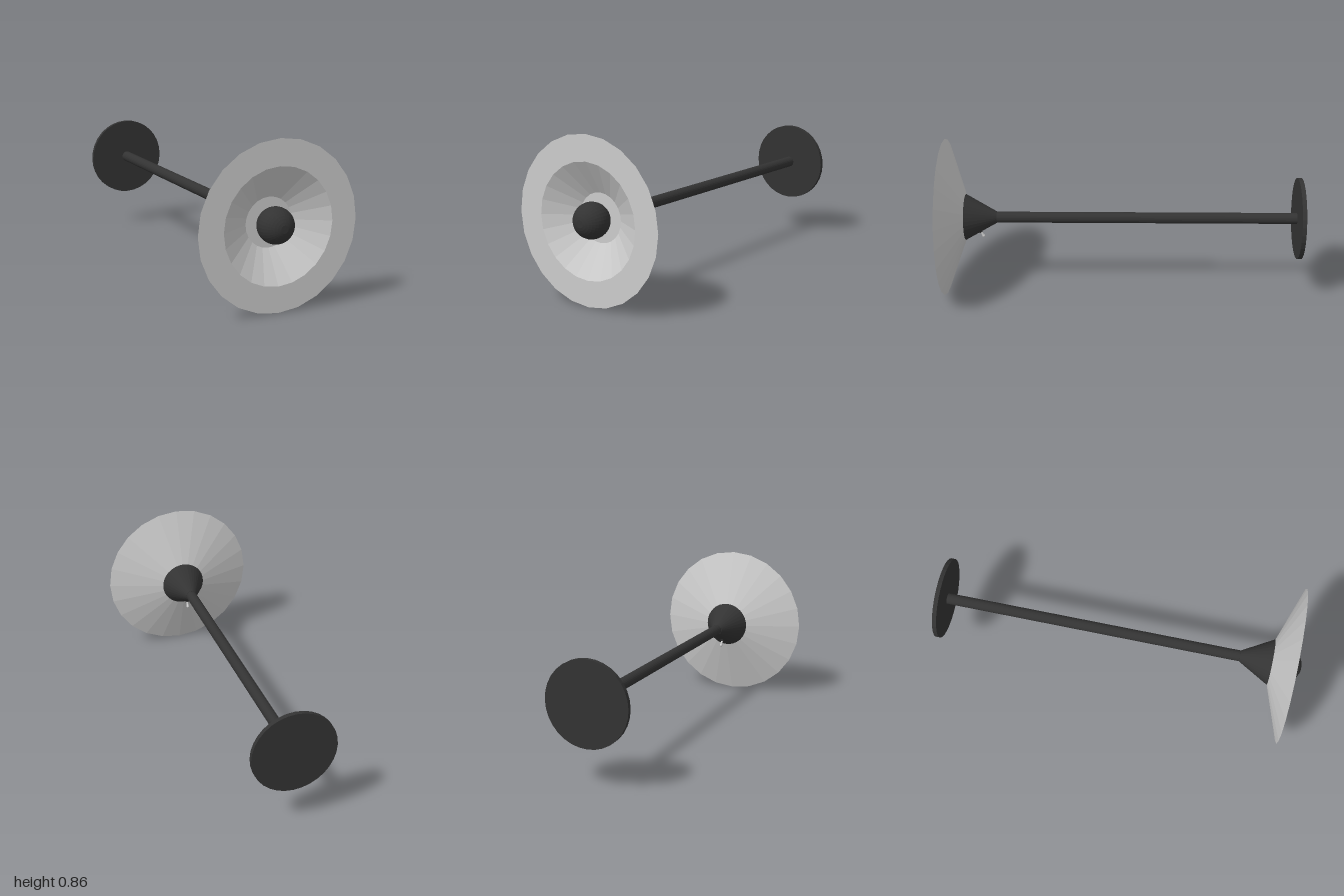
import * as THREE from 'three';

const AXIS_Y = 0.43; // height of the lamp's horizontal axis

export function createModel() {
  const group = new THREE.Group();
  const grey = new THREE.MeshStandardMaterial({ color: 0xcccccc, flatShading: true, side: THREE.DoubleSide });
  const dark = new THREE.MeshStandardMaterial({ color: 0x333333, flatShading: true });

  // Turns a profile of [radius, z] points around the lamp's axis
  function turned(name, profile, material, sides = 24) {
    const geometry = new THREE.LatheGeometry(profile.map(([r, z]) => new THREE.Vector2(r, z)), sides);
    geometry.rotateX(Math.PI / 2);
    const mesh = new THREE.Mesh(geometry, material);
    mesh.name = name;
    mesh.position.y = AXIS_Y;
    group.add(mesh);
    return mesh;
  }

  // Wall plate and long arm
  turned('wallPlate', [[0, -1], [0.222, -1], [0.222, -0.977], [0, -0.977]], dark, 32);
  turned('arm', [[0.03, -0.98], [0.03, 0.68]], dark);

  // Conical lamp holder
  turned('holder', [[0, 0.665], [0.031, 0.665], [0.126, 0.835], [0, 0.835]], dark, 32);

  // Wide shade: outer cone, flat rim, recessed reflector and its floor
  turned('shade', [[0.12, 0.834], [0.429, 0.945], [0.295, 0.945], [0.127, 0.842], [0, 0.842]], grey);

  // Round bulb with a short neck and a small flat tip
  const bulb = [[0.045, 0.84]];
  const start = Math.asin(0.045 / 0.092), end = Math.PI - Math.asin(0.02 / 0.092);
  for (let i = 0; i <= 14; i++) {
    const a = start + (end - start) * i / 14;
    bulb.push([0.092 * Math.sin(a), 0.909 - 0.092 * Math.cos(a)]);
  }
  bulb.push([0, 0.999]);
  turned('bulb', bulb, dark, 32);

  // Little toggle switch standing square to the underside of the holder
  const toggle = new THREE.Group();
  toggle.name = 'toggleSwitch';
  function pin(name, r0, r1, length, y, material) {
    const mesh = new THREE.Mesh(new THREE.CylinderGeometry(r1, r0, length, 12), material);
    mesh.name = name;
    mesh.position.y = y;
    toggle.add(mesh);
  }
  pin('switchCollar', 0.01, 0.01, 0.016, 0.002, dark);
  pin('switchLever', 0.005, 0.007, 0.036, 0.02, grey);
  const tip = new THREE.Mesh(new THREE.SphereGeometry(0.008, 12, 8), grey);
  tip.name = 'switchTip';
  tip.position.y = 0.036;
  toggle.add(tip);
  toggle.position.set(0, 0.348, 0.762);
  toggle.quaternion.setFromUnitVectors(new THREE.Vector3(0, 1, 0), new THREE.Vector3(0, -0.87, -0.49).normalize());
  group.add(toggle);

  return group;
}
